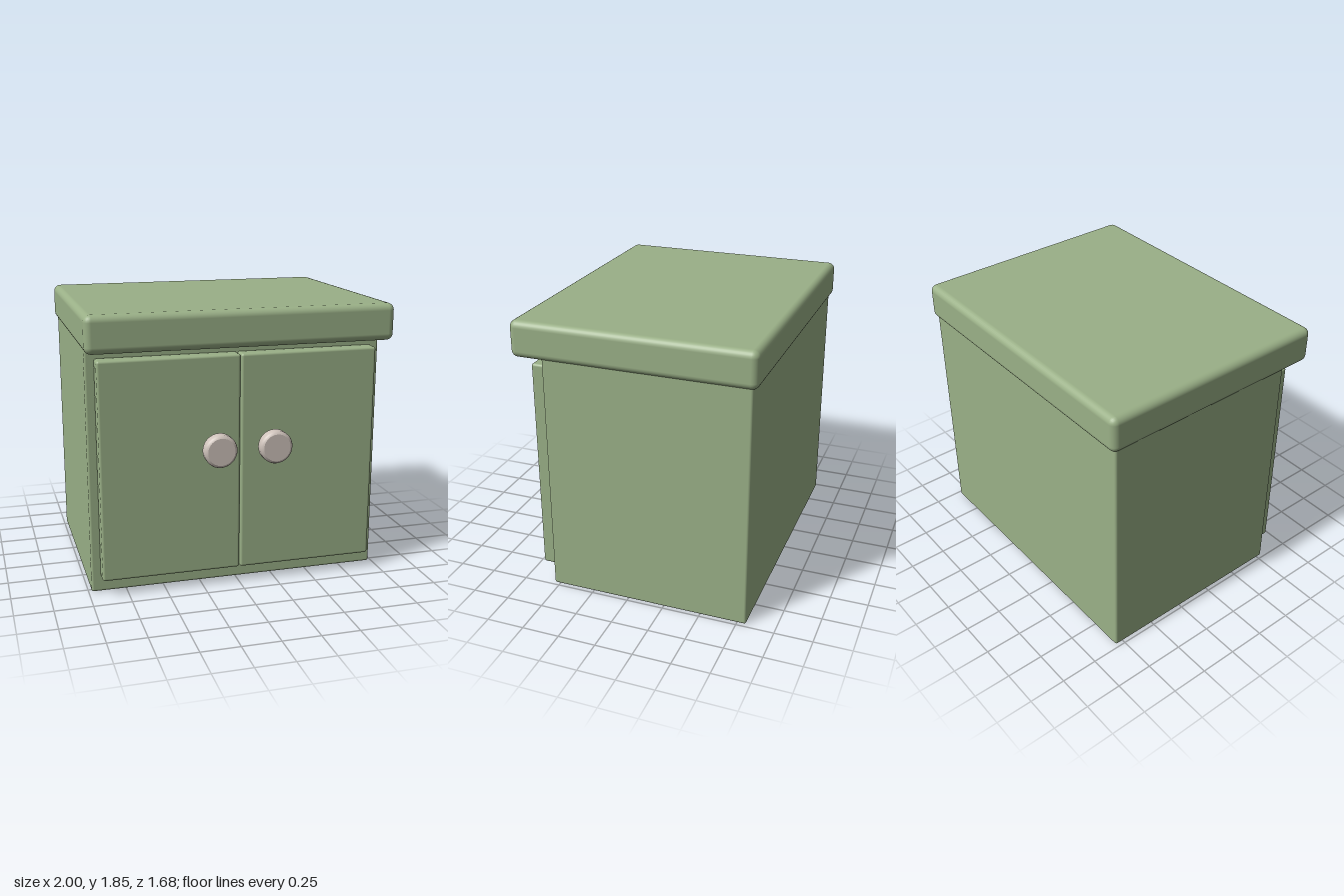
import * as THREE from 'three';
import { RoundedBoxGeometry } from 'three/addons/geometries/RoundedBoxGeometry.js';

export function createModel() {
  const model = new THREE.Group();
  model.name = 'cabinet';

  const green = new THREE.MeshStandardMaterial({ color: 0x9ab087 });
  green.name = 'sage green paint';
  const knobPaint = new THREE.MeshStandardMaterial({ color: 0xd0c4bc });
  knobPaint.name = 'warm grey knob';

  // Rounded box given by its minimum and maximum corners
  function box(name, min, max, radius) {
    const size = max.map((v, i) => v - min[i]);
    const mesh = new THREE.Mesh(new RoundedBoxGeometry(...size, 3, radius), green);
    mesh.position.set(...max.map((v, i) => (v + min[i]) / 2));
    mesh.name = name;
    model.add(mesh);
  }

  box('body', [-0.98, 0, -0.81], [0.98, 1.64, 0.54], 0.016);
  box('top', [-1, 1.61, -0.84], [1, 1.85, 0.745], 0.045);

  // Knob profile, from the stem at the door to the centre of the face
  const profile = [
    [0.038, 0], [0.038, 0.125], [0.09, 0.125], [0.1, 0.129], [0.107, 0.142],
    [0.107, 0.188], [0.102, 0.2], [0.088, 0.208], [0, 0.208],
  ].map(([r, h]) => new THREE.Vector2(r, h));
  // Repeat hard corners so their edges stay crisp
  const points = [];
  profile.forEach((p, i) => {
    points.push(p);
    if ([1, 2, 7].includes(i)) points.push(p.clone());
  });
  const knobGeometry = new THREE.LatheGeometry(points, 32).rotateX(Math.PI / 2);

  // Two mirrored doors, each with a knob near the middle
  for (const [side, s] of [['left', 1], ['right', -1]]) {
    const xs = [s * 0.002, s * 0.92].sort((a, b) => a - b);
    box(side + 'Door', [xs[0], 0.11, 0.535], [xs[1], 1.555, 0.645], 0.017);
    const knob = new THREE.Mesh(knobGeometry, knobPaint);
    knob.name = side + 'Knob';
    knob.position.set(s * 0.182, 0.98, 0.632);
    model.add(knob);
  }
  return model;
}
